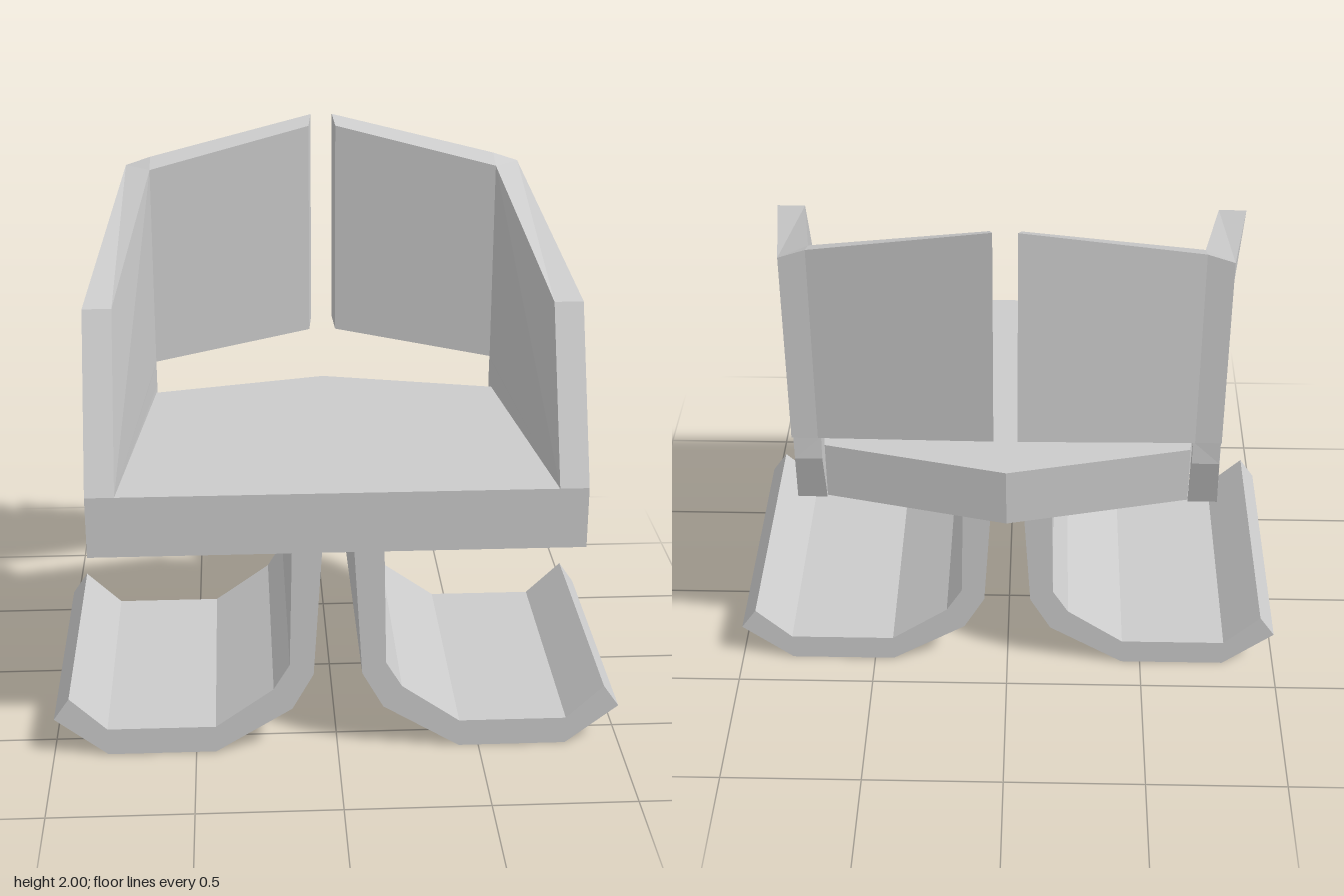
import * as THREE from 'three';

const material = new THREE.MeshStandardMaterial({ color: 0xcccccc, flatShading: true });

// Solid between two matching loops of [x, y, z]; each cap is fanned from its first corner.
function loft(loopA, loopB, side) {
  const n = loopA.length;
  const pts = [...loopA, ...loopB].map(([x, y, z]) => new THREE.Vector3(x * side, y, z));
  const tris = [];
  for (let i = 0; i < n; i++) {
    const j = (i + 1) % n;
    tris.push([i, j, n + j], [i, n + j, n + i]);
    if (i > 0 && i < n - 1) tris.push([0, i + 1, i], [n, n + i, n + i + 1]);
  }
  // The signed volume tells whether the faces point outwards
  let volume = 0;
  for (const [a, b, c] of tris) volume += pts[a].dot(pts[b].clone().cross(pts[c]));
  const corners = tris.flatMap(t => (volume < 0 ? [t[0], t[2], t[1]] : t).map(i => pts[i]));
  const geometry = new THREE.BufferGeometry().setFromPoints(corners);
  geometry.computeVertexNormals();
  return geometry;
}

const toShape = points => new THREE.Shape(points.map(([x, y]) => new THREE.Vector2(x, y)));

export function createModel() {
  const model = new THREE.Group();
  model.name = 'chair';
  const add = (name, geometry) => {
    const mesh = new THREE.Mesh(geometry, material);
    mesh.name = name;
    model.add(mesh);
    return mesh;
  };

  // Seat slab: tapers backwards to a shallow point
  const seat = new THREE.ExtrudeGeometry(
    toShape([[-0.75, -0.61], [0.75, -0.61], [0.64, 0.36], [0, 0.51], [-0.64, 0.36]]),
    { depth: 0.22, bevelEnabled: false });
  seat.rotateX(-Math.PI / 2).translate(0, 0.77, 0);
  add('seat', seat);

  // Side panel with sloping arm and slanted rear edge
  const sideInner = [
    [0.75, 0.99, 0.61], [0.75, 1.56, 0.33], [0.64, 1.84, -0.43], [0.64, 1.09, -0.43],
    [0.64, 1.08, -0.435], [0.64, 0.99, -0.44], [0.64, 0.77, -0.37], [0.75, 0.77, 0.61]];
  const sideOuter = [
    [0.85, 0.99, 0.61], [0.85, 1.56, 0.33], [0.73, 1.84, -0.51], [0.73, 1.13, -0.505],
    [0.735, 1.09, -0.44], [0.735, 0.99, -0.44], [0.745, 0.77, -0.37], [0.85, 0.77, 0.61]];

  // Half of the split backrest, with a chamfered outer corner
  const backTop = [
    [0.64, 1.87, -0.51], [0.04, 2, -0.613], [0.05, 1.97, -0.55], [0.64, 1.84, -0.43], [0.73, 1.84, -0.51]];
  const backBottomY = [1.13, 1.2, 1.17, 1.09, 1.13];
  const backBottom = backTop.map(([x, , z], i) => [x, backBottomY[i], z]);

  // Bent leg profile, swept from front to back
  const legProfile = [
    [0.055, 0.77], [0.085, 0.3], [0.16, 0.165], [0.43, 0], [0.81, 0], [0.995, 0.145],
    [0.94, 0.225], [0.81, 0.1], [0.43, 0.1], [0.225, 0.245], [0.168, 0.34], [0.158, 0.77]];

  for (const side of [1, -1]) {
    const label = side > 0 ? 'left' : 'right';
    add(label + 'SidePanel', loft(sideInner, sideOuter, side));
    add(label + 'Backrest', loft(backTop, backBottom, side));
    const leg = new THREE.ExtrudeGeometry(
      toShape(legProfile.map(([x, y]) => [x * side, y])), { depth: 0.98, bevelEnabled: false });
    add(label + 'Leg', leg.translate(0, 0, -0.37));
  }
  return model;
}
